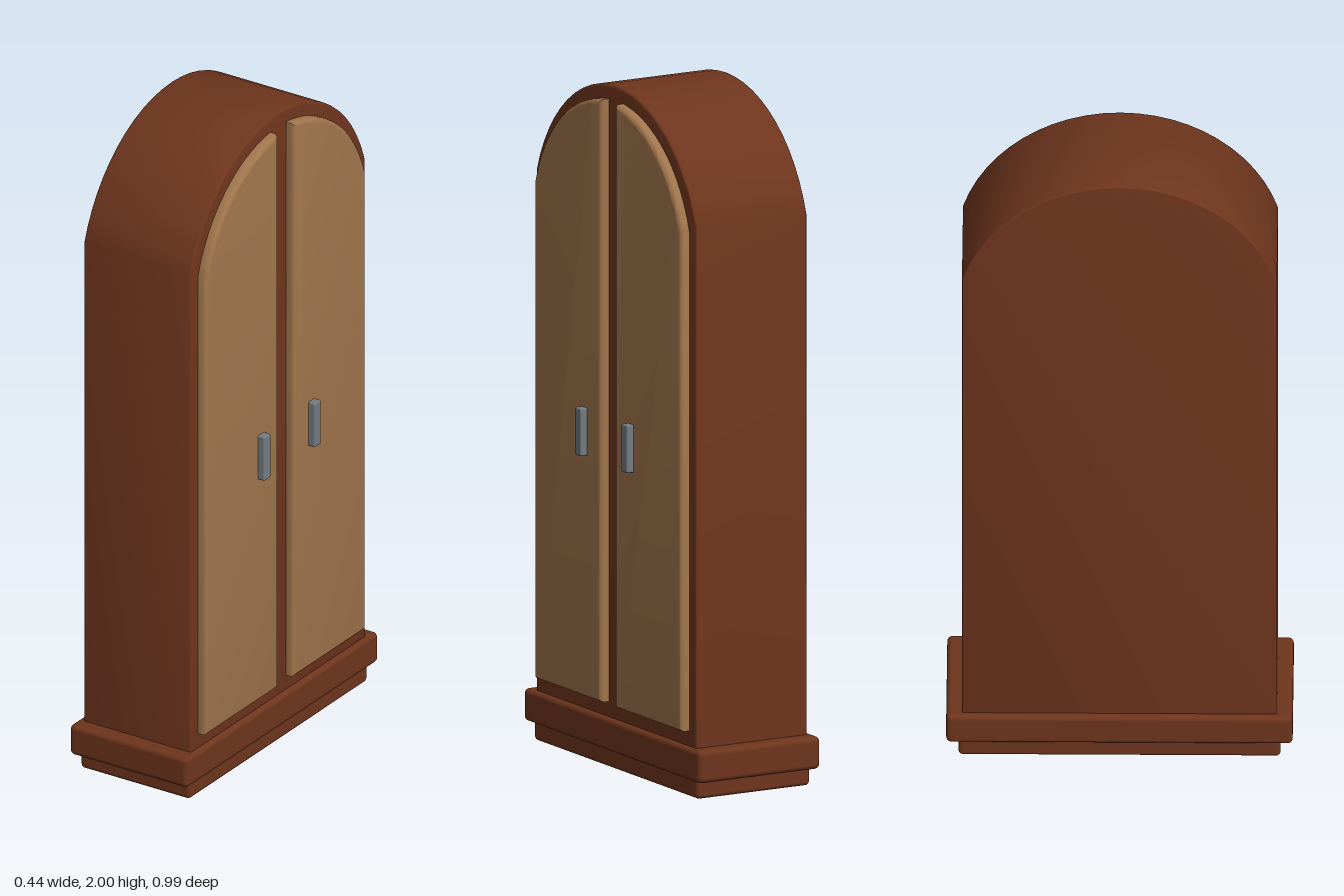
import * as THREE from 'three';
import { toCreasedNormals } from 'three/addons/utils/BufferGeometryUtils.js';
import { RoundedBoxGeometry } from 'three/addons/geometries/RoundedBoxGeometry.js';

const wood = new THREE.MeshStandardMaterial({ color: 0x6e351d });
const panel = new THREE.MeshStandardMaterial({ color: 0xa0754c });
const metal = new THREE.MeshStandardMaterial({ color: 0x737c82 });

const ARCH_Y = 1.528; // centre height of the arch circle

// Outline from z0 to z1 with a flat bottom and a circular arched top
function archShape(z0, z1, bottom, radius, steps) {
  const pts = [new THREE.Vector2(z0, bottom), new THREE.Vector2(z1, bottom)];
  const a0 = Math.acos(z1 / radius), a1 = Math.acos(z0 / radius);
  for (let i = 0; i <= steps; i++) {
    const a = a0 + (a1 - a0) * i / steps;
    pts.push(new THREE.Vector2(radius * Math.cos(a), ARCH_Y + radius * Math.sin(a)));
  }
  return new THREE.Shape(pts);
}

// Extrudes an outline along x, from x0 to x1, with rounded edges
function slab(shape, x0, x1, bevel) {
  const geo = new THREE.ExtrudeGeometry(shape, {
    depth: x1 - x0 - 2 * bevel, bevelEnabled: true, bevelThickness: bevel,
    bevelSize: bevel, bevelOffset: -bevel, bevelSegments: 3,
  });
  geo.rotateY(Math.PI / 2).translate(x0 + bevel, 0, 0);
  return toCreasedNormals(geo, 0.6);
}

export function createModel() {
  const group = new THREE.Group();
  const add = (name, geo, mat, x = 0, y = 0, z = 0) => {
    const mesh = new THREE.Mesh(geo, mat);
    mesh.name = name;
    mesh.position.set(x, y, z);
    group.add(mesh);
  };

  // Arched cabinet
  add('cabinetBody', slab(archShape(-0.45, 0.45, 0.04, 0.472, 24), -0.2, 0.168, 0.006), wood);

  // Stepped plinth
  add('plinthFoot', new RoundedBoxGeometry(0.375, 0.08, 0.92, 3, 0.012), wood, -0.0175, 0.04, 0);
  add('plinthBand', new RoundedBoxGeometry(0.405, 0.095, 0.99, 3, 0.015), wood, -0.0175, 0.1, 0);

  // Mirrored doors with bar handles
  for (const side of [1, -1]) {
    const shape = side > 0
      ? archShape(0.04, 0.412, 0.192, 0.43, 16)
      : archShape(-0.412, -0.04, 0.192, 0.43, 16);
    const label = side > 0 ? 'right' : 'left';
    add(label + 'Door', slab(shape, 0.14, 0.197, 0.013), panel);
    add(label + 'Handle', new RoundedBoxGeometry(0.04, 0.14, 0.034, 2, 0.005), metal, 0.199, 0.97, side * 0.13);
  }
  return group;
}
